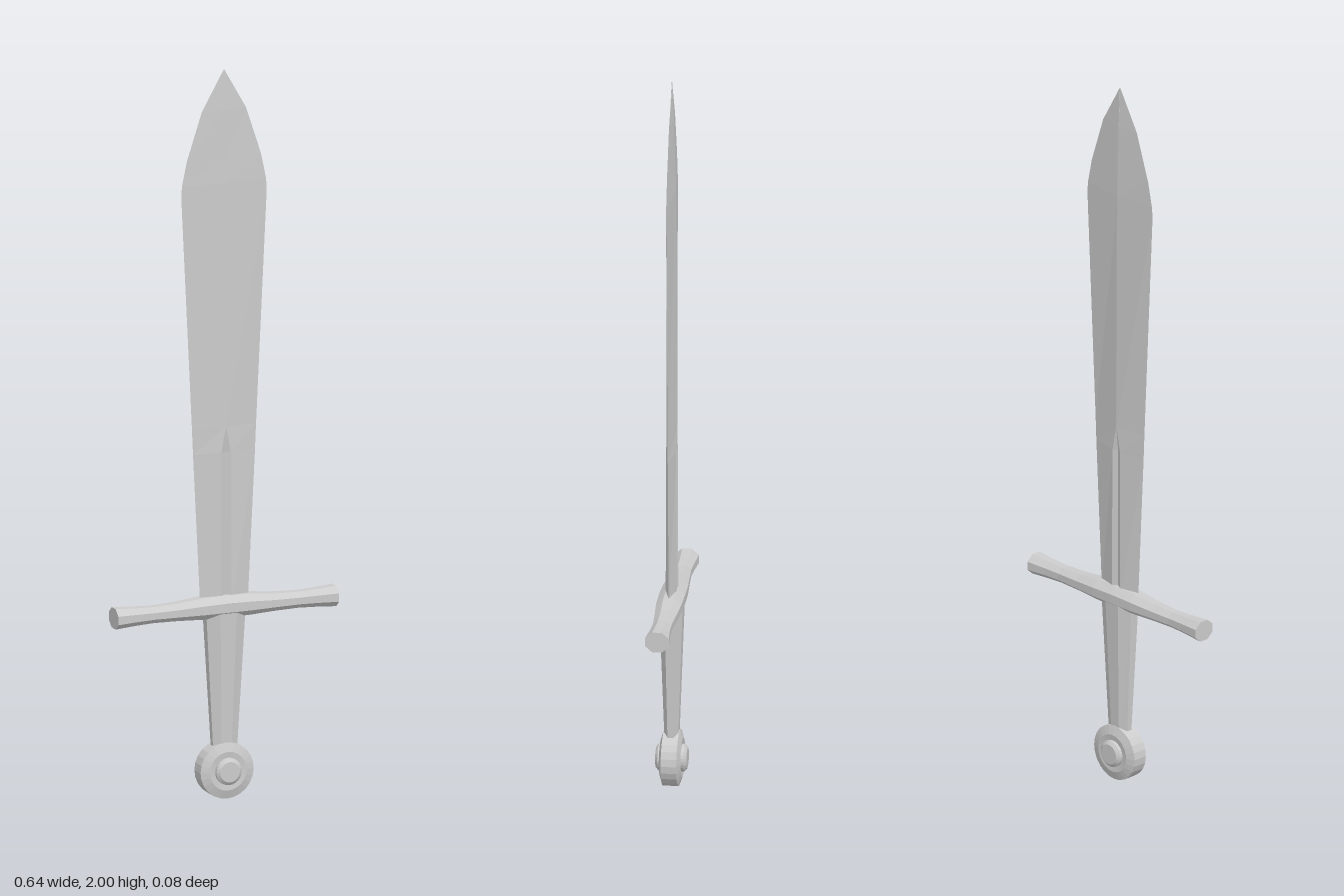
import * as THREE from 'three';

const metal = new THREE.MeshStandardMaterial({ color: 0xcccccc, flatShading: true });

// Skin a list of equal-sized rings (each counter-clockwise seen from the far end), capped at both ends
function loft(name, rings) {
  const n = rings[0].length, pos = rings.flat(2), index = [];
  for (let r = 0; r < rings.length - 1; r++) {
    for (let i = 0; i < n; i++) {
      const a = r * n + i, b = r * n + (i + 1) % n;
      index.push(a, b, b + n, a, b + n, a + n);
    }
  }
  const last = (rings.length - 1) * n;
  for (let i = 1; i < n - 1; i++) {
    index.push(0, i + 1, i, last, last + i, last + i + 1);
  }
  const indexed = new THREE.BufferGeometry();
  indexed.setAttribute('position', new THREE.Float32BufferAttribute(pos, 3));
  indexed.setIndex(index);
  const geometry = indexed.toNonIndexed();
  geometry.computeVertexNormals();
  const mesh = new THREE.Mesh(geometry, metal);
  mesh.name = name;
  return mesh;
}

// Octagon with flat sides, given its half extents
function octagon(a, b) {
  return Array.from({ length: 8 }, (_, i) => {
    const t = (i + 0.5) * Math.PI / 4, k = 1 / Math.cos(Math.PI / 8);
    return [a * k * Math.cos(t), b * k * Math.sin(t)];
  });
}

export function createModel() {
  const sword = new THREE.Group();
  sword.name = 'sword';

  // Blade: [y, half width, half thickness, fuller half width, fuller depth]
  const blade = [
    [0.53, 0.069, 0.015, 0.016, 0.008],
    [0.95, 0.09, 0.014, 0.014, 0.007],
    [1.02, 0.093, 0.014, 0.001, 0],
    [1.66, 0.124, 0.011, 0.001, 0],
    [1.69, 0.122, 0.011, 0.001, 0],
    [1.76, 0.107, 0.009, 0.001, 0],
    [1.89, 0.064, 0.006, 0.001, 0],
    [2.0, 0.001, 0.001, 0.0005, 0],
  ];
  sword.add(loft('blade', blade.map(([y, w, t, f, d]) => [
    [w, y, 0], [f, y, -t], [0, y, d - t], [-f, y, -t],
    [-w, y, 0], [-f, y, t], [0, y, t - d], [f, y, t],
  ])));

  // Crossguard: [x, centre y, half height, half depth], flaring at the ends
  const half = [
    [0, 0.527, 0.031, 0.035], [0.07, 0.526, 0.029, 0.034], [0.14, 0.524, 0.024, 0.029],
    [0.21, 0.523, 0.022, 0.025], [0.26, 0.523, 0.024, 0.027], [0.32, 0.523, 0.028, 0.032],
  ];
  const guard = [...half.slice(1).reverse().map(([x, ...rest]) => [-x, ...rest]), ...half];
  sword.add(loft('crossguard', guard.map(([x, cy, h, d]) =>
    octagon(h, d).map(([y, z]) => [x, cy + y, z]))));

  // Grip, tapering down to the pommel
  const grip = [[0.12, 0.034, 0.018], [0.5, 0.056, 0.031], [0.53, 0.057, 0.032]];
  sword.add(loft('grip', grip.map(([y, w, d]) =>
    octagon(w, d).map(([x, z]) => [x, y, -z]))));

  // Pommel: a bevelled disc with a raised boss on both faces
  const face = [
    [0, 0.042], [0.028, 0.042], [0.037, 0.035], [0.037, 0.027],
    [0.053, 0.029], [0.077, 0.021],
  ];
  const profile = [...face.map(([r, z]) => [r, -z]), ...face.slice().reverse()];
  const pommel = new THREE.Mesh(
    new THREE.LatheGeometry(profile.map(([r, z]) => new THREE.Vector2(r, z)), 24), metal);
  pommel.name = 'pommel';
  pommel.rotation.x = Math.PI / 2;
  pommel.position.y = 0.077;
  sword.add(pommel);

  return sword;
}
